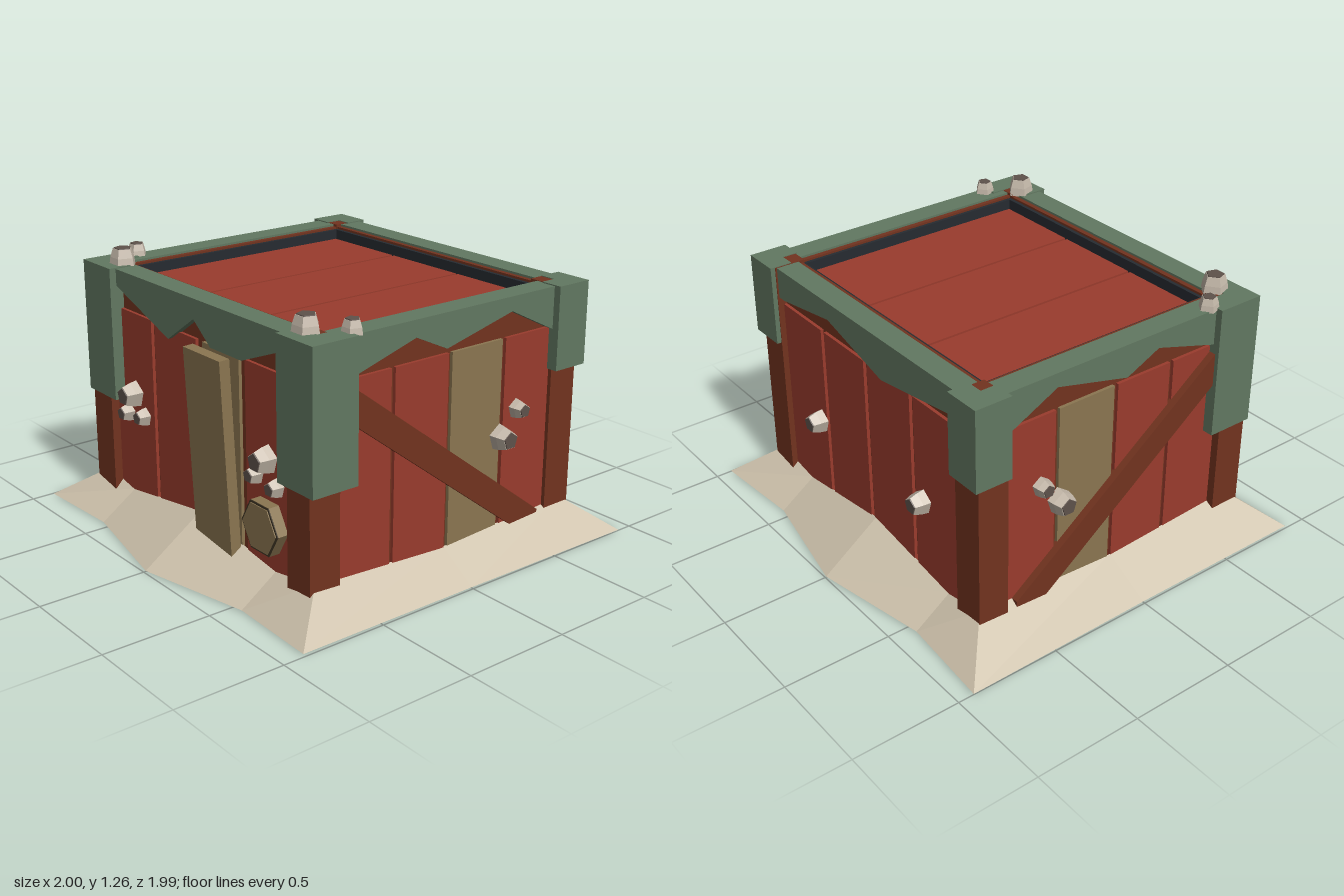
import * as THREE from 'three';

const mat = (name, color) => {
  const m = new THREE.MeshStandardMaterial({ color });
  m.name = name;
  return m;
};

export function createModel() {
  const M = {
    red: mat('red planks', 0x9a3c2d),
    brown: mat('brown timber', 0x72331f),
    green: mat('green trim', 0x627861),
    tan: mat('tan planks', 0x8b7651),
    sand: mat('sand', 0xcdc1ab),
    stone: mat('stone', 0xc6baab),
    tip: mat('dark stone', 0x5e524b),
    dark: mat('dark lining', 0x262b31),
    groove: mat('hatch groove', 0x3f3524),
  };
  const model = new THREE.Group();
  const hut = new THREE.Group();
  hut.name = 'hut';
  hut.position.set(0.022, 0, -0.01);
  model.add(hut);

  const add = (parent, name, geo, m) => {
    const mesh = new THREE.Mesh(geo, m);
    mesh.name = name;
    parent.add(mesh);
    return mesh;
  };
  const box = (p, name, m, x0, x1, y0, y1, z0, z1) => {
    const b = add(p, name, new THREE.BoxGeometry(x1 - x0, y1 - y0, z1 - z0), m);
    b.position.set((x0 + x1) / 2, (y0 + y1) / 2, (z0 + z1) / 2);
    return b;
  };
  const poly = (pts) => new THREE.Shape(pts.map(([x, y]) => new THREE.Vector2(x, y)));
  const extrude = (shape, depth) => new THREE.ExtrudeGeometry(shape, { depth, bevelEnabled: false });
  // plan outline (x, z) raised from y0 to y1
  const slab = (shape, y0, y1) => extrude(shape, y1 - y0).rotateX(Math.PI / 2).translate(0, y1, 0);
  const rect = (x, z) => [[-x, -z], [x, -z], [x, z], [-x, z]];
  const ring = (x, z, ix, iz, y0, y1) => {
    const s = poly(rect(x, z));
    s.holes.push(poly(rect(ix, iz)));
    return slab(s, y0, y1);
  };
  // flat-sided prism pointing along +z
  const prism = (sides, r0, r1, h, z) => {
    const g = new THREE.CylinderGeometry(r1, r0, h, sides).toNonIndexed();
    g.computeVertexNormals();
    return g.rotateX(Math.PI / 2).rotateZ(Math.PI).translate(0, 0, z + h / 2);
  };

  // Five-sided tapered stone stud
  const stud = (p, x, y, z, r) => {
    const g = new THREE.Group();
    g.name = 'stud';
    add(g, 'studBase', prism(5, r * 1.05, r * 0.95, r * 0.65, 0), M.stone);
    add(g, 'studHead', prism(5, r * 0.95, r * 0.74, r * 0.65, r * 0.65), M.stone);
    add(g, 'studTip', prism(5, r * 0.69, r * 0.67, 0.004, r * 1.3), M.tip);
    g.position.set(x, y, z);
    p.add(g);
    return g;
  };

  // Core: thin timber walls, roof rim, dark lining and sunken plank roof
  add(hut, 'timberWalls', ring(0.775, 0.695, 0.72, 0.64, 0.012, 1.17), M.brown);
  add(hut, 'roofRim', ring(0.725, 0.645, 0.678, 0.597, 0.95, 1.175), M.brown);
  add(hut, 'lining', ring(0.678, 0.597, 0.662, 0.58, 0.95, 1.165), M.dark);
  box(hut, 'innerFloor', M.dark, -0.7, 0.7, 0.21, 1.105, -0.62, 0.62);
  for (let i = 0; i < 3; i++) {
    const x = -0.66 + i * 0.443;
    box(hut, 'roofPlank', M.red, x, x + 0.43, 1.1, 1.12, -0.573, 0.573);
  }

  // One wall facing local +z: planks [from, to, material] and a jagged trim above
  const wall = (name, turn, face, halfTrim, planks, jag) => {
    const g = new THREE.Group();
    g.name = name;
    g.rotation.y = turn;
    hut.add(g);
    for (const [a, b, m] of planks) box(g, 'plank', m, a, b, 0.014, 1.0, face - 0.08, face);
    const [first, last] = [jag[0], jag[jag.length - 1]];
    const trim = poly([[-halfTrim, 1.185], [-halfTrim, first[1]], ...jag,
      [halfTrim, last[1]], [halfTrim, 1.185]]);
    add(g, 'jaggedTrim', extrude(trim, 0.11).translate(0, 0, face - 0.09), M.green);
    return g;
  };

  // Front with leaning door plank, studs and hexagonal hatch
  const front = wall('frontWall', 0, 0.71, 0.75, [[-0.685, -0.368, M.red], [-0.342, -0.018, M.red],
    [0.03, 0.293, M.tan], [0.335, 0.66, M.red]],
  [[-0.62, 1.11], [-0.2, 0.96], [0, 1.095], [0.12, 1.0], [0.34, 1.0], [0.62, 1.11]]);
  const door = box(front, 'doorPlank', M.tan, 0.03, 0.293, 0.1, 1.0, 0.735, 0.785);
  door.rotation.x = 0.045;
  for (const [x, y, r] of [[-0.515, 0.62, 0.06], [-0.575, 0.515, 0.042], [-0.44, 0.53, 0.042],
    [0.49, 0.62, 0.06], [0.412, 0.53, 0.042], [0.553, 0.515, 0.042]]) stud(front, x, y, 0.705, r);
  const hex = (name, r, h, z, m) => {
    const g = prism(6, r, r, h, z).rotateZ(Math.PI / 6);
    add(front, name, g, m).position.set(0.493, 0.328, 0);
  };
  hex('hatchBody', 0.124, 0.05, 0.71, M.tan);
  hex('hatchGroove', 0.1235, 0.004, 0.76, M.groove);
  hex('hatchPanel', 0.113, 0.004, 0.764, M.tan);

  // Back
  const back = wall('backWall', Math.PI, 0.71, 0.75, [[-0.69, -0.35, M.red], [-0.325, -0.013, M.red],
    [0.013, 0.325, M.red], [0.35, 0.69, M.red]],
  [[-0.62, 1.04], [-0.25, 1.1], [0.15, 0.99], [0.62, 1.06]]);
  for (const x of [-0.39, 0.41]) stud(back, x, 0.52, 0.71, 0.053);

  // Sides: mirrored about x
  for (const s of [1, -1]) {
    const flip = (a, b, m) => (s > 0 ? [a, b, m] : [-b, -a, m]);
    const jag = [[-0.55, 1.01], [-0.21, 1.11], [-0.04, 1.03], [0.33, 1.12], [0.59, 0.99]];
    const side = wall(s > 0 ? 'leftWall' : 'rightWall', s * Math.PI / 2, 0.79, 0.62,
      [flip(-0.6, -0.32, M.red), flip(-0.3, -0.01, M.red), flip(0.01, 0.3, M.tan), flip(0.32, 0.6, M.red)],
      s > 0 ? jag : jag.map(([u, y]) => [-u, y]).reverse());
    const brace = poly([[-0.57, 0.845], [-0.57, 1.0], [0.54, 0.16], [0.54, 0.005]].map(([u, y]) => [s * u, y]));
    add(side, 'diagonalBrace', extrude(brace, s > 0 ? 0.03 : 0.044).translate(0, 0, 0.78), M.brown);
    stud(side, s * 0.3, 0.56, 0.785, 0.058);
    stud(side, s * 0.395, 0.67, 0.79, 0.043);

    // Corner posts, caps and roof studs
    for (const f of [1, -1]) {
      const xs = s > 0 ? [0.662, 0.808] : [-0.828, -0.675];
      const zs = f > 0 ? [0.597, 0.75] : [-0.738, -0.59];
      box(hut, 'cornerPost', M.brown, xs[0], xs[1], 0.012, 1.187, zs[0], zs[1]);
      const [X, Z, arm, t, y0] = f > 0 ? [0.843, 0.762, 0.228, 0.11, 0.57] : [0.843, 0.76, 0.178, 0.105, 0.81];
      const cap = poly([[X, Z], [X - arm, Z], [X - arm, Z - t], [X - t, Z - t], [X - t, Z - arm], [X, Z - arm]]
        .map(([x, z]) => [s * x, f * z]));
      add(hut, 'cornerCap', slab(cap, y0, 1.19), M.green);
    }
    stud(hut, s * 0.672, 1.18, 0.655, 0.06).rotation.x = -Math.PI / 2;
    stud(hut, s * 0.78, 1.18, 0.515, 0.045).rotation.x = -Math.PI / 2;
  }

  // Sand skirt: outer ground ring and inner ring against the walls
  const outer = [[-0.99, 0.895], [-0.55, 0.875], [0, 0.99], [0.55, 0.875], [0.985, 0.895], [0.99, 0],
    [1, -0.925], [0.55, -0.89], [0, -0.995], [-0.55, -0.89], [-1, -0.925], [-0.99, 0]];
  const inner = [[-0.765, 0.17, 0.697], [-0.55, 0.13, 0.697], [0, 0.21, 0.697], [0.55, 0.13, 0.697],
    [0.808, 0.17, 0.697], [0.808, 0.13, 0], [0.808, 0.17, -0.717], [0.55, 0.13, -0.717], [0, 0.21, -0.717],
    [-0.55, 0.13, -0.717], [-0.765, 0.17, -0.717], [-0.765, 0.13, 0]];
  const rings = [outer.map(([x, z]) => [x, 0.008, z]), inner, inner.map(([x, , z]) => [x, 0.008, z])];
  const pos = [];
  for (let k = 0; k < 3; k++) {
    const A = rings[k], B = rings[(k + 1) % 3];
    for (let i = 0; i < 12; i++) {
      const j = (i + 1) % 12;
      pos.push(...A[i], ...A[j], ...B[j], ...A[i], ...B[j], ...B[i]);
    }
  }
  const skirt = new THREE.BufferGeometry();
  skirt.setAttribute('position', new THREE.Float32BufferAttribute(pos, 3));
  skirt.computeVertexNormals();
  add(model, 'sandSkirt', skirt, M.sand);

  return model;
}
